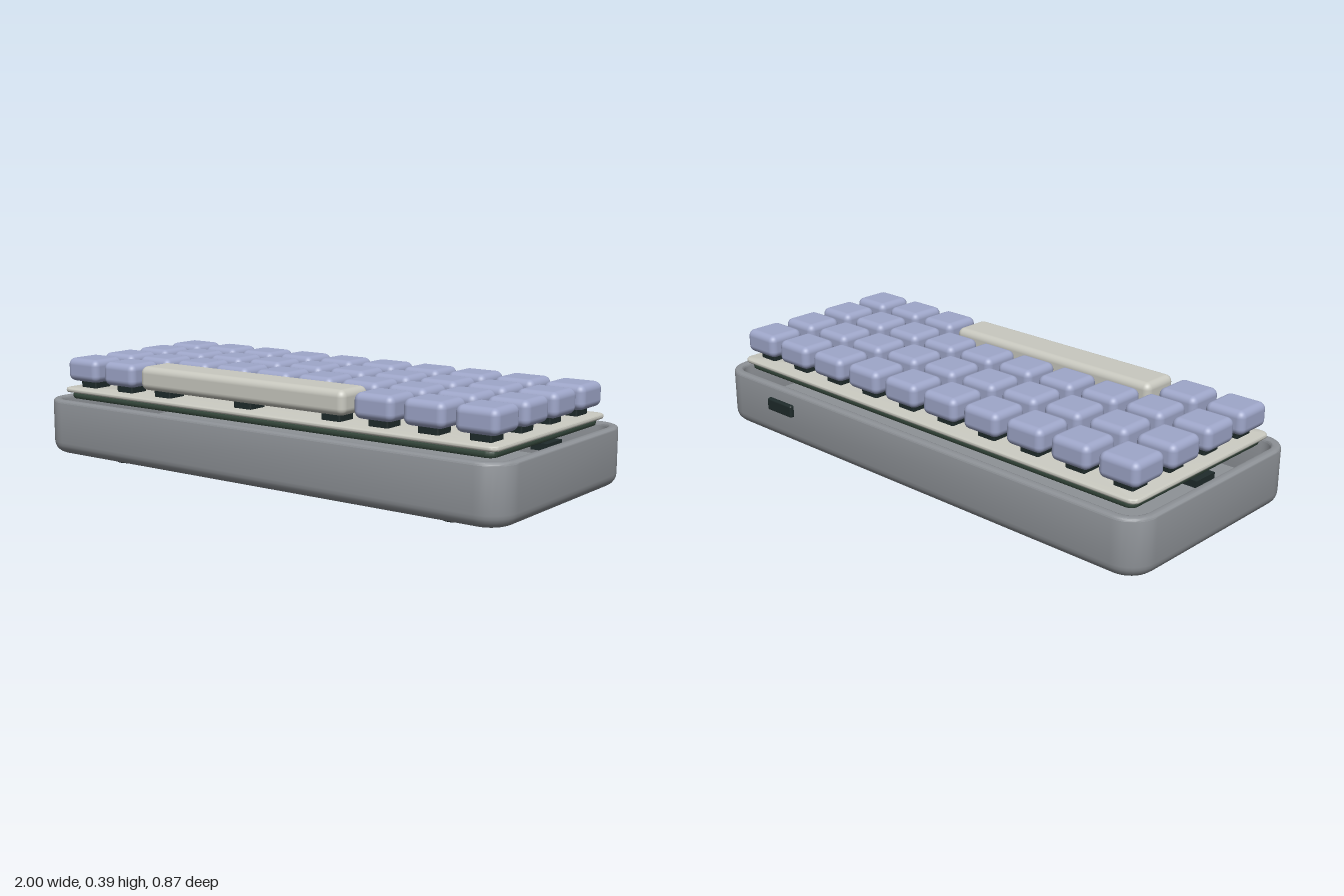
import * as THREE from 'three';
import { toCreasedNormals } from 'three/addons/utils/BufferGeometryUtils.js';
import { RoundedBoxGeometry } from 'three/addons/geometries/RoundedBoxGeometry.js';

const mat = (name, color) => {
  const m = new THREE.MeshStandardMaterial({ color });
  m.name = name;
  return m;
};

// Stack of rounded rectangles; profile rows are [inset, y], running from the bottom outward, up, and on to the top
function loft(w, d, r, profile, seg = 8) {
  const pos = [], idx = [], n = 4 * (seg + 1);
  const signs = [[1, 1], [-1, 1], [-1, -1], [1, -1]];
  for (const [inset, y] of profile) {
    const rad = Math.max(r - inset, 0.004);
    signs.forEach(([sx, sz], q) => {
      for (let s = 0; s <= seg; s++) {
        const t = (q + s / seg) * Math.PI / 2;
        pos.push(sx * (w / 2 - inset - rad) + rad * Math.cos(t), y,
          sz * (d / 2 - inset - rad) + rad * Math.sin(t));
      }
    });
  }
  const rows = profile.length;
  for (let i = 0; i < rows - 1; i++) {
    for (let j = 0; j < n; j++) {
      const a = i * n + j, b = i * n + (j + 1) % n;
      idx.push(a, a + n, b, b, a + n, b + n);
    }
  }
  // End caps
  const bottom = rows * n, top = bottom + 1, last = (rows - 1) * n;
  pos.push(0, profile[0][1], 0, 0, profile[rows - 1][1], 0);
  for (let j = 0; j < n; j++) {
    const k = (j + 1) % n;
    idx.push(bottom, j, k, top, last + k, last + j);
  }
  const g = new THREE.BufferGeometry();
  g.setAttribute('position', new THREE.Float32BufferAttribute(pos, 3));
  g.setIndex(idx);
  return toCreasedNormals(g, 0.6);
}

// Quarter-round rows for a profile; a0 to a1 in degrees, -90 = underside, 0 = side, 90 = top
function arc(inset, y, r, a0, a1, steps) {
  return Array.from({ length: steps + 1 }, (_, i) => {
    const a = THREE.MathUtils.degToRad(a0 + (a1 - a0) * i / steps);
    return [inset - r * Math.cos(a), y + r * Math.sin(a)];
  });
}

// Flat slab with softened edges
const slab = (w, d, r, y0, y1, e) =>
  loft(w, d, r, [...arc(e, y0 + e, e, -90, 0, 3), ...arc(e, y1 - e, e, 0, 90, 3)]);

export function createModel() {
  const root = new THREE.Group();
  const grey = mat('case grey', 0x8e9297);
  const blue = mat('keycap lavender', 0x9fa7ca);
  const cream = mat('cream', 0xc9c9c0);
  const green = mat('board green', 0x36493d);
  const dark = mat('dark rubber', 0x1f2b2b);
  const cz = 0.008;

  const add = (name, geo, material, x = 0, y = 0, z = 0, parent = root) => {
    const m = new THREE.Mesh(geo, material);
    m.name = name;
    m.position.set(x, y, z);
    parent.add(m);
    return m;
  };

  // Open tray case: rounded bottom edge, soft rim, inner walls and floor
  add('case', loft(2, 0.855, 0.1, [
    ...arc(0.045, 0.078, 0.045, -90, 0, 6),
    ...arc(0.01, 0.23, 0.01, 0, 90, 3),
    ...arc(0.03, 0.23, 0.01, 90, 180, 3).map(([i, y]) => [0.06 - i - 0.005 + (i - 0.03) * 2, y]),
    [0.037, 0.1],
  ]), grey, 0, 0, cz);

  // Circuit board and switch plate
  add('circuitBoard', slab(1.85, 0.71, 0.03, 0.238, 0.262, 0.008), green, 0, 0, cz);
  add('switchPlate', slab(1.89, 0.742, 0.03, 0.262, 0.28, 0.008), cream, 0, 0, cz);

  // Side gaskets under the plate
  for (const s of [-1, 1]) {
    add('gasket', new THREE.BoxGeometry(0.06, 0.024, 0.1), dark, s * 0.915, 0.227, cz);
  }

  // Keys on a 10 by 4 grid, with the space bar across five columns of the front row
  const keys = new THREE.Group();
  keys.name = 'keys';
  root.add(keys);
  const pitchX = 0.1909, pitchZ = 0.1877;
  const capGeo = new RoundedBoxGeometry(0.155, 0.087, 0.15, 4, 0.025);
  const stemGeo = new RoundedBoxGeometry(0.078, 0.05, 0.078, 2, 0.006);
  const colX = c => (c - 4.5) * pitchX;
  for (let row = 0; row < 4; row++) {
    const z = cz + (row - 1.5) * pitchZ;
    for (let c = 0; c < 10; c++) {
      const underBar = row === 3 && c >= 2 && c <= 6;
      if (!underBar) add('keycap', capGeo, blue, colX(c), 0.3485, z, keys);
      if (!underBar || c % 2 === 0) add('switch', stemGeo, dark, colX(c), 0.301, z, keys);
    }
  }
  add('spaceBar', new RoundedBoxGeometry(0.155 + 4 * pitchX, 0.087, 0.15, 4, 0.025), cream,
    colX(4), 0.3485, cz + 1.5 * pitchZ, keys);

  // Round feet with a softened lower edge
  const footGeo = toCreasedNormals(new THREE.LatheGeometry([
    [0, 0], [0.05, 0], [0.055, 0.003], [0.057, 0.008], [0.057, 0.04], [0, 0.04],
  ].map(p => new THREE.Vector2(...p)), 28), 0.7);
  for (const x of [-0.728, 0.728]) {
    for (const z of [-0.239, 0.239]) add('foot', footGeo, dark, x, 0, z + cz);
  }

  // Cable port on the back
  add('port', new RoundedBoxGeometry(0.136, 0.047, 0.03, 3, 0.007), dark, 0.653, 0.169, -0.42);

  return root;
}
